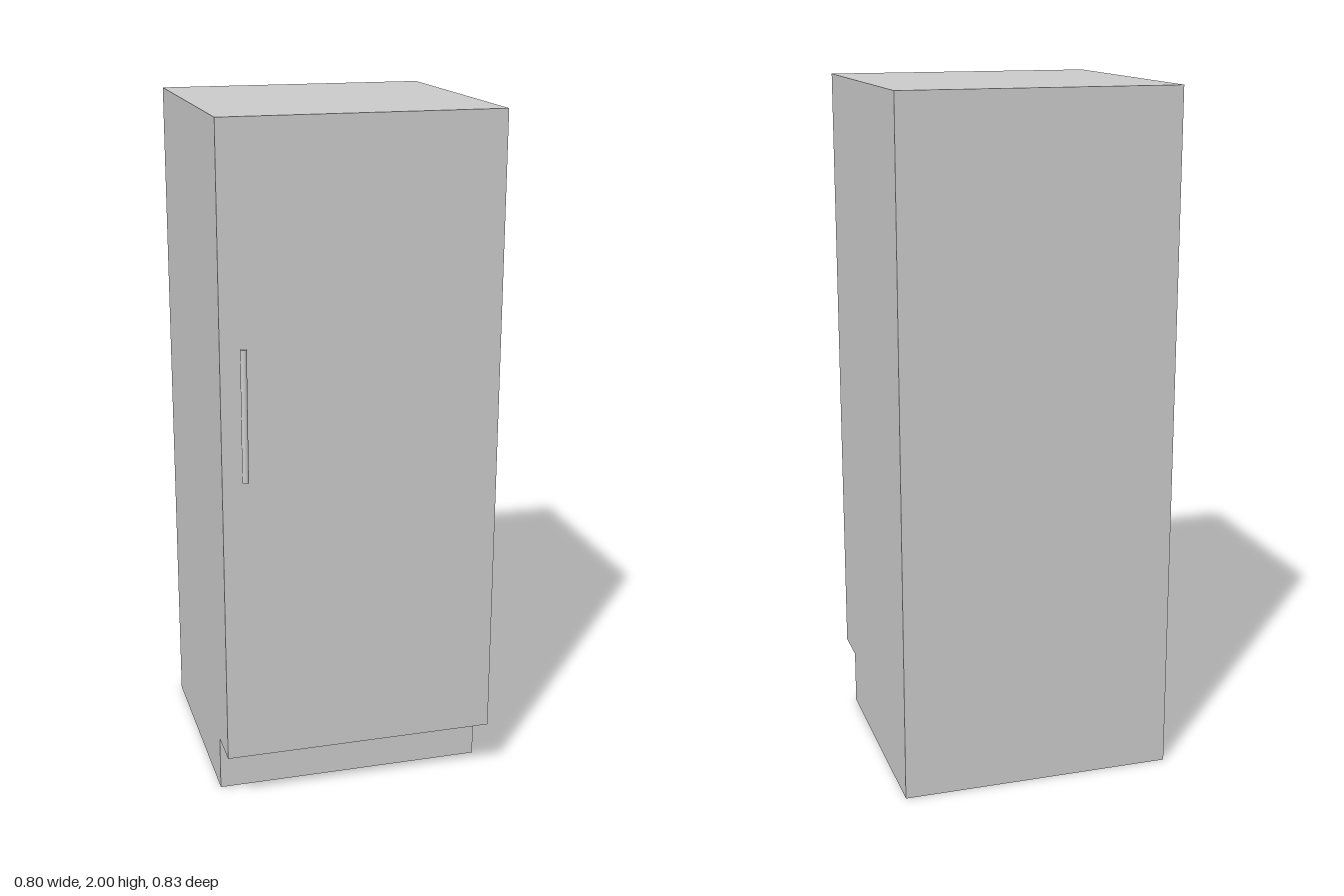
import * as THREE from 'three';

const W = 0.8, H = 2, BACK = -0.415, FRONT = 0.383, KICK_Z = 0.26, KICK_Y = 0.163;

export function createModel() {
  const group = new THREE.Group();
  const sheet = new THREE.MeshStandardMaterial({ color: 0xcccccc, side: THREE.DoubleSide, flatShading: true });
  const solid = new THREE.MeshStandardMaterial({ color: 0xcccccc });

  const add = (name, geometry, material, x, y, z) => {
    const mesh = new THREE.Mesh(geometry, material);
    mesh.name = name;
    mesh.position.set(x, y, z);
    group.add(mesh);
    return mesh;
  };

  // Full-width thin panel between two points (z, y) of the side profile
  const panel = (name, [z0, y0], [z1, y1]) => {
    const geometry = new THREE.PlaneGeometry(W, Math.hypot(z1 - z0, y1 - y0));
    geometry.rotateX(Math.atan2(z1 - z0, y1 - y0));
    add(name, geometry, sheet, 0, (y0 + y1) / 2, (z0 + z1) / 2);
  };

  // Cabinet shell, hollow and open underneath
  const profile = [[KICK_Z, 0], [KICK_Z, KICK_Y], [FRONT, KICK_Y], [FRONT, H], [BACK, H], [BACK, 0]];
  ['toeKick', 'doorUnderside', 'door', 'top', 'back'].forEach((name, i) =>
    panel(name, profile[i], profile[i + 1]));

  // Notched side panels
  const sideShape = new THREE.Shape(profile.map(([z, y]) => new THREE.Vector2(z, y)));
  for (const s of [-1, 1]) {
    // Each side's front face points outwards
    const geometry = new THREE.ShapeGeometry(sideShape);
    if (s > 0) geometry.scale(-1, 1, 1).index.array.reverse();
    geometry.rotateY(s > 0 ? Math.PI / 2 : -Math.PI / 2);
    geometry.computeVertexNormals();
    add(s > 0 ? 'leftSide' : 'rightSide', geometry, sheet, s * W / 2, 0, 0);
  }

  // Bar handle on two short posts
  const handleX = -0.339, handleZ = 0.405;
  add('handleBar', new THREE.CylinderGeometry(0.009, 0.009, 0.376, 24), solid, handleX, 1.203, handleZ);
  for (const y of [1.047, 1.359]) {
    const post = new THREE.CylinderGeometry(0.005, 0.005, handleZ - FRONT, 16).rotateX(Math.PI / 2);
    add('handlePost', post, solid, handleX, y, (handleZ + FRONT) / 2);
  }
  return group;
}
